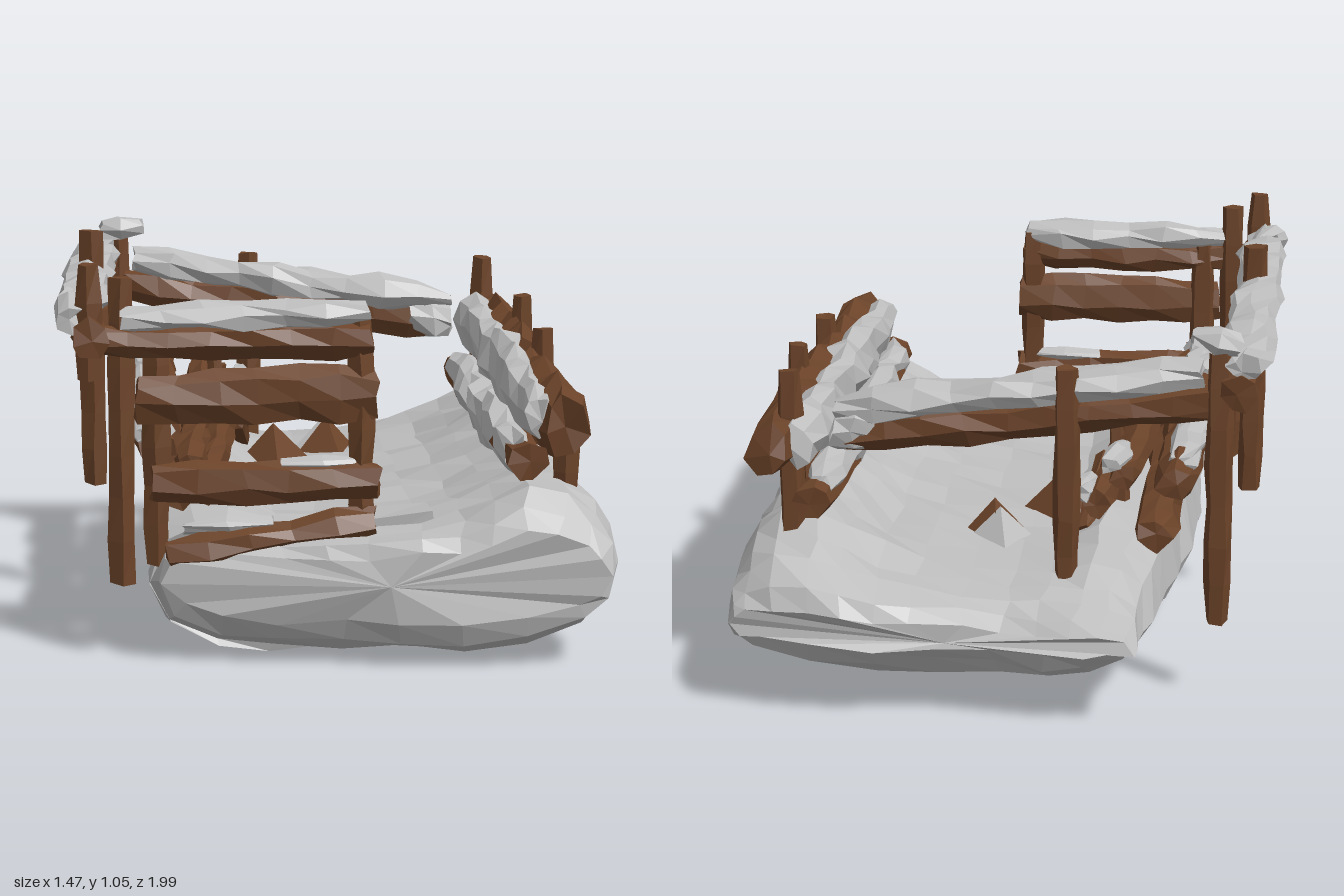
import * as THREE from 'three';

const snow = new THREE.MeshStandardMaterial({ color: 0xbebebe });
snow.name = 'snow';
const wood = new THREE.MeshStandardMaterial({ color: 0x6b4329 });
wood.name = 'bark';

// Repeatable noise in -1..1 from a position and seed
function noise(x, y, z, seed) {
  const r = (v) => Math.round(v * 1000);
  const s = Math.sin(r(x) * 0.1271 + r(y) * 0.3117 + r(z) * 0.0747 + seed * 17.13) * 43758.5453;
  return (s - Math.floor(s)) * 2 - 1;
}

// Shift every corner a little, keeping coincident corners together
function roughen(geo, amount, seed) {
  const p = geo.attributes.position;
  for (let i = 0; i < p.count; i++) {
    const [x, y, z] = [p.getX(i), p.getY(i), p.getZ(i)];
    p.setXYZ(i,
      x + amount * noise(x, y, z, seed),
      y + amount * noise(x, y, z, seed + 1),
      z + amount * noise(x, y, z, seed + 2));
  }
  return geo;
}

// Mesh with one normal per face
function faceted(name, geo, material) {
  const flat = geo.index ? geo.toNonIndexed() : geo;
  flat.computeVertexNormals();
  const mesh = new THREE.Mesh(flat, material);
  mesh.name = name;
  return mesh;
}

// Uneven log from a to b, with an oval section (half-width w, half-height h)
let logCount = 0;
function log(name, a, b, w, h, material, { sides = 7, taper = 0.15, rough = 0.2 } = {}) {
  const from = new THREE.Vector3(...a), to = new THREE.Vector3(...b);
  const dir = to.clone().sub(from);
  const length = dir.length();
  dir.normalize();
  const steps = Math.max(2, Math.round(length / 0.11));
  const seed = ++logCount * 3;
  const geo = new THREE.CylinderGeometry(1, 1, length, sides, steps);
  const p = geo.attributes.position;
  for (let i = 0; i < p.count; i++) {
    const [x, y, z] = [p.getX(i), p.getY(i), p.getZ(i)];
    const t = (2 * y) / length;
    const ring = 1 - taper * t ** 8 + rough * 0.5 * noise(0, y, 0, seed);
    p.setXYZ(i, x * w * ring, y, z * h * ring);
  }
  roughen(geo, Math.min(w, h) * rough, seed);
  const upright = Math.abs(dir.y) > 0.8;
  const side = dir.clone().cross(new THREE.Vector3(0, upright ? 0 : 1, upright ? 1 : 0)).normalize();
  const basis = new THREE.Matrix4().makeBasis(side, dir, side.clone().cross(dir));
  basis.setPosition(from.add(to).multiplyScalar(0.5));
  geo.applyMatrix4(basis);
  return faceted(name, geo, material);
}

const post = (name, x, z, bottom, top, r = 0.036, lean = 0) =>
  log(name, [x, bottom, z], [x + lean, top, z + lean], r, r, wood, { sides: 5, rough: 0.12 });
const drift = (name, a, b, w, h) =>
  log(name, a, b, w, h, snow, { sides: 8, taper: 0.4, rough: 0.25 });

// Snow bank lofted back to front from one cross-section
function snowBank() {
  const section = [
    [-0.49, 0.2], [-0.46, 0.28], [-0.38, 0.32], [-0.28, 0.335], [-0.16, 0.335], [-0.04, 0.335], [0.08, 0.345],
    [0.22, 0.365], [0.32, 0.39], [0.41, 0.43], [0.49, 0.475], [0.59, 0.465], [0.67, 0.41], [0.71, 0.34],
    [0.725, 0.26], [0.7, 0.17], [0.64, 0.09], [0.5, 0.035], [0.32, 0.005], [0.15, 0.02], [0, 0.02],
    [-0.18, 0.008], [-0.32, 0.03], [-0.44, 0.085],
  ];
  // z, width scale, height scale
  const stations = [[-0.965, 0.96, 0.3], [-0.93, 0.97, 0.55], [-0.86, 0.98, 0.76], [-0.78, 0.99, 0.88]];
  for (let i = 0; i <= 13; i++) stations.push([-0.68 + i * 0.115, 1, 0.97 + 0.03 * Math.cos(i * 1.6)]);
  stations.push([0.9, 0.99, 0.92], [0.96, 0.97, 0.75], [0.985, 0.94, 0.52]);
  const n = section.length, pos = [], index = [];
  for (const [z, sx, sy] of stations) {
    const leftEdge = z < 0 ? 0.1 * Math.min(1, -z * 1.3) : 0;
    const swell = 0.09 * Math.max(0, Math.cos((z - 0.1) * 1.7));
    for (const [x, y] of section) {
      const pull = x < 0 ? leftEdge * (-x / 0.49) : 0;
      const rise = x < -0.25 && y > 0.25 ? swell : 0;
      const lift = y < 0.15 && z < -0.3 ? 0.04 : 0;
      let dz = 0;
      if (z > 0.85) dz = 0.16 * Math.min(0, x - 0.25);
      if (z < -0.9) dz = -0.025 * Math.cos((x + 0.39) * 7.95);
      pos.push(0.13 + (x - 0.13) * sx + pull, 0.23 + (y - 0.23) * sy + rise + lift, z + dz);
    }
  }
  const last = stations.length - 1;
  for (let k = 0; k < last; k++) {
    for (let i = 0; i < n; i++) {
      const j = (i + 1) % n;
      const a = k * n + i, b = k * n + j, c = b + n, d = a + n;
      index.push(a, d, c, a, c, b);
    }
  }
  // Closed ends
  const back = pos.length / 3;
  pos.push(0.13, 0.23, -0.95, 0.13, 0.23, 0.975);
  for (let i = 0; i < n; i++) {
    const j = (i + 1) % n;
    index.push(back, i, j, back + 1, last * n + j, last * n + i);
  }
  const geo = new THREE.BufferGeometry();
  geo.setAttribute('position', new THREE.Float32BufferAttribute(pos, 3));
  geo.setIndex(index);
  return faceted('snowBank', roughen(geo, 0.011, 5), snow);
}

function group(name, ...parts) {
  const g = new THREE.Group();
  g.name = name;
  g.add(...parts);
  return g;
}

export function createModel() {
  const model = group('snowyLogPen', snowBank());

  // Left side: high rail on three posts
  model.add(group('leftFence',
    log('leftRail', [-0.64, 0.85, 0.87], [-0.62, 0.85, -0.74], 0.05, 0.06, wood),
    drift('leftRailSnow', [-0.66, 0.92, 0.76], [-0.635, 0.92, -0.74], 0.066, 0.045),
    post('leftFrontPost', -0.56, 0.8, 0.2, 1.0),
    post('leftCornerStub', -0.64, 0.82, 0.74, 1.04),
    post('leftMiddlePost', -0.64, 0.08, 0.33, 1.05),
    post('leftBackPost', -0.57, -0.7, 0.21, 0.97),
    drift('leftFrontEndSnow', [-0.69, 0.9, 0.84], [-0.67, 0.93, 0.62], 0.05, 0.05),
    drift('leftBackPostSnow', [-0.62, 0.97, -0.69], [-0.5, 0.99, -0.69], 0.055, 0.04)));

  // Front gate: four rails between two posts
  model.add(group('frontGate',
    log('frontRail1', [-0.64, 0.84, 0.82], [0.09, 0.84, 0.82], 0.045, 0.048, wood),
    log('frontRail2', [-0.52, 0.69, 0.84], [0.1, 0.7, 0.81], 0.05, 0.075, wood),
    log('frontRail3', [-0.48, 0.47, 0.84], [0.11, 0.47, 0.82], 0.05, 0.056, wood),
    log('frontRail4', [-0.44, 0.285, 0.85], [0.1, 0.36, 0.83], 0.05, 0.046, wood),
    drift('frontRailSnow', [-0.56, 0.9, 0.82], [0.08, 0.905, 0.82], 0.062, 0.042),
    drift('frontMiddleSnow', [-0.15, 0.515, 0.82], [0.07, 0.52, 0.81], 0.045, 0.018),
    drift('frontLowerSnow', [-0.4, 0.35, 0.83], [-0.17, 0.365, 0.83], 0.045, 0.026),
    post('frontLeftPost', -0.47, 0.8, 0.25, 0.88),
    post('frontRightPost', 0.06, 0.81, 0.3, 0.91)));

  // Back rail, sloping down to the right
  model.add(group('backFence',
    log('backRail', [-0.56, 0.81, -0.67], [0.43, 0.685, -0.64], 0.05, 0.058, wood),
    drift('backRailSnow', [-0.52, 0.885, -0.66], [0.45, 0.755, -0.63], 0.068, 0.05),
    drift('backRailEndSnow', [0.33, 0.7, -0.64], [0.455, 0.7, -0.64], 0.064, 0.07),
    post('backPost', -0.17, -0.7, 0.28, 0.9)));

  // Right side: thick upper log on four posts, lower log buried in heaped snow
  const rightFence = group('rightFence',
    log('rightRail', [0.59, 0.605, 0.85], [0.6, 0.69, -0.83], 0.07, 0.095, wood),
    log('rightLowerRail', [0.5, 0.51, 0.8], [0.5, 0.53, -0.76], 0.055, 0.05, wood),
    drift('rightRailSnow', [0.535, 0.63, 0.8], [0.535, 0.695, -0.78], 0.06, 0.08),
    drift('rightSlopeSnow', [0.485, 0.52, 0.74], [0.49, 0.54, -0.7], 0.055, 0.062));
  [[0.61, 0.73, 0.38, 0.66], [0.62, 0.21, 0.4, 0.78], [0.62, -0.24, 0.4, 0.82], [0.56, -0.72, 0.4, 0.88]]
    .forEach(([x, z, low, high], i) => rightFence.add(post(`rightPost${i + 1}`, x, z, low, high)));
  model.add(rightFence);

  // Logs stacked along the left inside, partly snowed over
  const pile = group('logPile',
    log('pileLog1', [-0.47, 0.54, 0.76], [-0.46, 0.61, -0.75], 0.062, 0.058, wood),
    log('pileLog2', [-0.38, 0.5, 0.75], [-0.31, 0.58, -0.62], 0.042, 0.042, wood),
    log('pileLog3', [-0.34, 0.43, 0.74], [-0.24, 0.5, -0.62], 0.045, 0.045, wood),
    log('pileLog4', [-0.42, 0.42, 0.72], [-0.4, 0.44, -0.7], 0.06, 0.055, wood),
    log('pileStick', [-0.2, 0.36, -0.42], [-0.23, 0.47, -0.1], 0.03, 0.03, wood, { sides: 5 }),
    post('pileStake1', -0.29, -0.27, 0.4, 0.62, 0.025, 0.02),
    post('pileStake2', -0.28, 0.02, 0.4, 0.72, 0.022, -0.02));
  [
    [-0.485, 0.585, 0.8, -0.48, 0.6, 0.32, 0.058],
    [-0.505, 0.6, 0.12, -0.505, 0.61, -0.15, 0.035],
    [-0.49, 0.625, -0.2, -0.475, 0.64, -0.68, 0.05],
    [-0.3, 0.61, -0.42, -0.28, 0.615, -0.64, 0.035],
    [-0.22, 0.53, -0.5, -0.2, 0.54, -0.65, 0.03],
  ].forEach(([x1, y1, z1, x2, y2, z2, w], i) =>
    pile.add(drift(`pileSnow${i + 1}`, [x1, y1, z1], [x2, y2, z2], w, 0.035)));
  model.add(pile);

  // Faceted stumps half sunk in the snow, one partly snowed over
  [['stump1', 0.06, 0.32, -0.39, 0.11, wood, 0.2], ['stump1Snow', 0.035, 0.33, -0.42, 0.095, snow, 0.2],
    ['stump2', -0.12, 0.33, -0.18, 0.12, wood, 0.1]].forEach(([name, x, y, z, r, material, turn]) => {
    const stump = faceted(name, roughen(new THREE.OctahedronGeometry(r), 0.008, 9), material);
    stump.position.set(x, y, z);
    stump.rotation.y = turn;
    model.add(stump);
  });

  // Low slab of snow near the gate
  const slab = faceted('snowSlab', roughen(new THREE.BoxGeometry(0.15, 0.05, 0.19), 0.008, 4), snow);
  slab.position.set(0.18, 0.345, 0.72);
  slab.rotation.z = 0.12;
  model.add(slab);

  return model;
}
